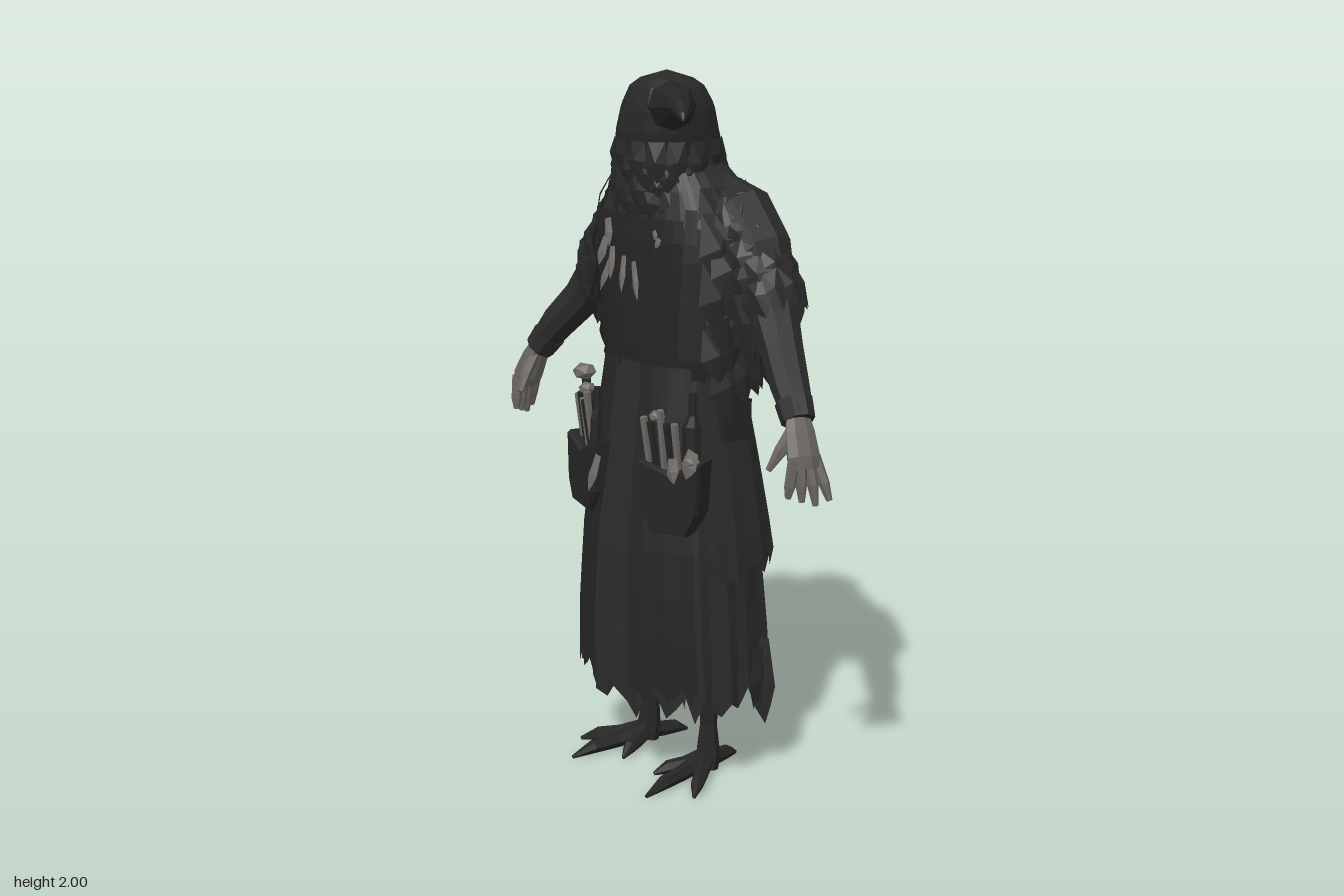
import * as THREE from 'three';

const V = (x, y, z) => new THREE.Vector3(x, y, z);
const hash = n => { const s = Math.sin(n * 12.9898 + 4.1) * 43758.5453; return s - Math.floor(s); };
const PI = Math.PI;

function material(name, color) {
  const m = new THREE.MeshStandardMaterial({ color, flatShading: true, side: THREE.DoubleSide });
  m.name = name;
  return m;
}

// faceted geometry from a list of points, three per face
function facets(points) {
  const g = new THREE.BufferGeometry().setFromPoints(points);
  g.computeVertexNormals();
  return g;
}

// surface through rows of points
function grid(rows) {
  const p = [];
  for (let j = 0; j + 1 < rows.length; j++)
    for (let i = 0; i + 1 < rows[j].length; i++) {
      const a = rows[j][i], b = rows[j][i + 1], c = rows[j + 1][i + 1], d = rows[j + 1][i];
      p.push(a, b, c, a, c, d);
    }
  return facets(p);
}

// point on a profile of [y, halfWidth, front, back, centreX, centreZ]; angle 0 is the front
function at(prof, y, a, off = 0) {
  let k = 0;
  while (k < prof.length - 2 && y > prof[k + 1][0]) k++;
  const A = prof[k], B = prof[k + 1];
  const t = THREE.MathUtils.clamp((y - A[0]) / (B[0] - A[0]), 0, 1);
  const [, w, f, b, cx, cz] = [0, 1, 2, 3, 4, 5].map(i => (A[i] || 0) * (1 - t) + (B[i] || 0) * t);
  const pw = v => Math.sign(v) * Math.abs(v) ** 0.85;
  const s = pw(Math.sin(a)), c = pw(Math.cos(a));
  return V(cx + s * (w + off), y, cz + c * ((c > 0 ? f : b) + off));
}

// cloth or body surface over part of a profile, with optional pleats, flare and torn hem
function shell(prof, { a0 = 0, a1 = 2 * PI, n = 28, m = 7, y0 = prof[0][0], y1 = prof.at(-1)[0], off = 0, hem = 0, pleat = 0, flare = 0 }) {
  const rows = [];
  for (let j = 0; j <= m; j++) {
    const t = j / m, row = [];
    for (let i = 0; i <= n; i++) {
      const k = a1 - a0 > 6.2 ? i % n : i;
      const y = y0 + (y1 - y0) * t - (j === 0 ? hem * hash(k * 3 + 1) : 0);
      const o = off + (1 - t) * (flare + pleat * (hash(k + 7) - 0.5) * 2);
      row.push(at(prof, y, a0 + (a1 - a0) * i / n, o));
    }
    rows.push(row);
  }
  return grid(rows);
}

// tapered limb through [x, y, z, radius]
function limb(pts, n = 7, flat = 1) {
  const P = pts.map(p => V(p[0], p[1], p[2])), last = P.length - 1;
  const dir = P[last].clone().sub(P[0]).normalize();
  const ref = Math.abs(dir.z) > 0.8 ? V(0, 1, 0) : V(0, 0, 1);
  const rows = P.map((p, j) => {
    const t = P[Math.min(j + 1, last)].clone().sub(P[Math.max(j - 1, 0)]).normalize();
    const u = ref.clone().cross(t).normalize(), v = t.clone().cross(u);
    return Array.from({ length: n + 1 }, (_, i) => {
      const a = 2 * PI * (i % n) / n;
      return p.clone().addScaledVector(u, Math.cos(a) * pts[j][3] * flat).addScaledVector(v, Math.sin(a) * pts[j][3]);
    });
  });
  const cap = k => rows[k].map(q => P[k].clone().lerp(q, 0.01));
  return grid([cap(0), ...rows, cap(last)]);
}

// one ridged feather, hanging from pos
function feather(out, pos, down, normal, len, w) {
  const d = down.clone().normalize();
  const s = normal.clone().cross(d).normalize(), n = d.clone().cross(s);
  const q = (x, y, z = 0) => pos.clone().addScaledVector(s, x * w).addScaledVector(d, y * len).addScaledVector(n, z);
  const c = q(0, 0.5, w * 0.2);
  const rim = [q(-0.35, 0), q(-0.5, 0.6), q(-0.28, 0.82), q(0.06, 1), q(0.3, 0.78), q(0.5, 0.55), q(0.35, 0)];
  rim.forEach((p, i) => out.push(c, p, rim[(i + 1) % rim.length]));
}

export function createModel() {
  const root = new THREE.Group();
  const cloth = material('charcoal cloth', 0x2b2b2b), plume = material('black plumage', 0x282828);
  const leather = material('dark leather', 0x252525), skin = material('grey skin', 0x6a6562);
  const trinket = material('pale trinkets', 0x6f6a66);
  const add = (name, geo, mat) => {
    const m = new THREE.Mesh(geo, mat);
    m.name = name;
    root.add(m);
    return m;
  };

  const torso = [[1.15, 0.2, 0.14, 0.145], [1.25, 0.215, 0.15, 0.18], [1.4, 0.235, 0.155, 0.205], [1.55, 0.255, 0.155, 0.2],
    [1.65, 0.24, 0.14, 0.175], [1.72, 0.185, 0.12, 0.14], [1.78, 0.11, 0.1, 0.1]];
  const skirt = [[0.3, 0.288, 0.215, 0.212], [0.45, 0.278, 0.222, 0.207], [0.7, 0.258, 0.215, 0.19], [0.95, 0.228, 0.19, 0.165], [1.22, 0.195, 0.15, 0.13]];
  const head = [[1.58, 0.13, 0.14, 0.1], [1.67, 0.152, 0.152, 0.14], [1.76, 0.14, 0.155, 0.13, -0.01], [1.84, 0.134, 0.145, 0.115, 0.005, 0.02],
    [1.91, 0.122, 0.125, 0.105, 0.02, 0.035], [1.96, 0.098, 0.098, 0.085, 0.025, 0.045], [1.99, 0.055, 0.055, 0.05, 0.025, 0.05], [2, 0.002, 0.002, 0.002, 0.025, 0.05]];

  // robe
  add('torso', shell(torso, {}), cloth);
  add('skirt', shell(skirt, { n: 52, y0: 0.32, hem: 0.11, pleat: 0.014 }), cloth);
  add('overskirt', shell(skirt, { a0: 1.25, a1: 2 * PI - 1.25, n: 30, y0: 0.68, y1: 1.2, off: 0.012, flare: 0.022, hem: 0.06, pleat: 0.012 }), cloth);
  for (const s of [-1, 1])
    add('apronPanel', shell(skirt, { a0: s > 0 ? 0.2 : -1.0, a1: s > 0 ? 1.0 : -0.2, n: 9, y0: 0.34, off: 0.014, hem: 0.07, pleat: 0.009 }), leather);
  add('apronTongue', shell(skirt, { a0: -0.16, a1: 0.16, n: 4, y0: 0.3, off: 0.008, pleat: 0.006 }), cloth);
  add('bib', shell(torso, { a0: -0.72, a1: 0.72, n: 10, y0: 1.2, y1: 1.62, off: 0.01 }), leather);
  add('belt', shell(torso, { n: 24, m: 1, y0: 1.185, y1: 1.235, off: 0.008 }), leather);
  for (const s of [-1, 1])
    add('strap', shell(torso, { a0: s * 0.83 - 0.09, a1: s * 0.83 + 0.09, n: 2, m: 4, y0: 1.56, y1: 1.74, off: 0.012 }), leather);

  // hanging rags between the legs and at the hip
  const rags = [];
  feather(rags, V(0, 0.7, -0.03), V(0, -1, 0), V(0, 0, 1), 0.56, 0.1);
  feather(rags, V(0.25, 0.42, -0.1), V(0, -1, -0.08), V(0.5, 0, 0.8), 0.27, 0.08);
  feather(rags, V(-0.21, 0.42, 0.08), V(0, -1, 0), V(-0.3, 0, 1), 0.23, 0.05);
  for (let i = 0; i < 9; i++) {
    const a = PI * (0.6 + 0.1 * i);
    feather(rags, at(skirt, 0.4, a), V(0, -1, 0), V(Math.sin(a), 0, Math.cos(a)), 0.13 + 0.1 * hash(i), 0.08);
  }
  add('rags', facets(rags), cloth);

  // head and beak
  add('head', shell(head, { n: 18, m: 21 }), plume);
  add('beak', limb([[0.06, 1.91, 0.07, 0.075], [0.13, 1.915, 0.115, 0.06], [0.19, 1.922, 0.15, 0.04], [0.25, 1.922, 0.19, 0.026], [0.285, 1.908, 0.215, 0.013], [0.295, 1.897, 0.222, 0.003]], 8), leather);

  // layered plumage: throat ruff, then cape
  const ruff = [], cape = [];
  for (let r = 0; r < 4; r++)
    for (let i = 0; i < 15; i++) {
      const a = 2 * PI * (i + r / 2) / 15, h = hash(i + r * 31);
      feather(ruff, at(head, 1.7 + r * 0.04, a, 0.001), V(Math.sin(a) * 0.06, -1, Math.cos(a) * 0.06), V(Math.sin(a), 0.1, Math.cos(a)), 0.07 + 0.04 * h, 0.065);
    }
  add('throatRuff', facets(ruff), plume);
  for (let r = 0; r < 8; r++)
    for (let i = 0; i < 17; i++) {
      const h = hash(i * 7 + r * 13), a = PI + (i - 8 + (r % 2) / 2) * 0.245 + (h - 0.5) * 0.1;
      if (Math.abs(a - PI) > 1.95) continue;
      const sx = Math.sin(a), cz = Math.cos(a), lift = 0.12 + 0.2 * hash(i + r * 5);
      feather(cape, at(torso, 1.27 + r * 0.062, a, 0.006), V(sx * lift, -1, cz * lift * 0.75), V(sx, 0.15, cz), 0.12 + 0.08 * h, 0.085 + 0.03 * h);
    }
  add('featherCape', facets(cape), plume);

  for (const s of [-1, 1]) {
    // arms with feathered shoulders
    const path = [[0.13, 1.66, -0.04, 0.08], [0.2, 1.62, -0.045, 0.103], [0.285, 1.53, -0.045, 0.095], [0.355, 1.415, -0.03, 0.07], [0.43, 1.305, 0, 0.058], [0.5, 1.225, 0.035, 0.052], [0.555, 1.155, 0.055, 0.042]];
    add('sleeve', limb(path.map(([x, y, z, r]) => [s * x, y, z, r]), 9), cloth);
    add('cuff', limb([[s * 0.525, 1.19, 0.045, 0.05], [s * 0.558, 1.145, 0.058, 0.045]], 8), cloth);
    const sleeve = [];
    for (let r = 0; r < 5; r++)
      for (let i = 0; i < 11; i++) {
        const t = r / 4, b = 2 * PI * (i + r / 2) / 11, h = hash(i * 3 + r * 11 + s);
        const u = V(s * 0.8, 0.6, 0).multiplyScalar(Math.cos(b)).add(V(0, 0, Math.sin(b)));
        const p = V(s * (0.18 + 0.14 * t), 1.64 - 0.165 * t, -0.045 + 0.008 * t).addScaledVector(u, 0.094 - 0.014 * t);
        feather(sleeve, p, V(s * 0.5, -0.9, 0).addScaledVector(u, 0.05), u, 0.08 + 0.06 * h, 0.08);
      }
    // long plumes hanging below the upper arm
    for (let i = 0; i < 10; i++)
      feather(sleeve, V(s * (0.21 + 0.014 * i), 1.44, -0.17 + 0.025 * i), V(s * 0.1, -1, -0.05), V(s * 0.4, 0, i < 5 ? -1 : 1), 0.1 + 0.09 * hash(i + 40), 0.07);
    add('shoulderFeathers', facets(sleeve), plume);

    // hands
    add('palm', limb([[s * 0.55, 1.165, 0.055, 0.035], [s * 0.572, 1.12, 0.065, 0.046], [s * 0.597, 1.06, 0.075, 0.052], [s * 0.608, 1.03, 0.077, 0.042]], 8, 0.62), skin);
    for (let i = 0; i < 4; i++)
      add('finger', limb([[s * 0.6, 1.06, 0.04 + 0.024 * i, 0.016], [s * (0.632 - 0.012 * i), 0.99, 0.034 + 0.029 * i, 0.015], [s * (0.647 - 0.018 * i), 0.935 + 0.012 * Math.abs(i - 1), 0.028 + 0.032 * i, 0.008]], 6), skin);
    add('thumb', limb([[s * 0.562, 1.13, 0.075, 0.02], [s * 0.553, 1.075, 0.115, 0.018], [s * 0.54, 1.025, 0.145, 0.008]], 6), skin);

    // legs and clawed feet
    add('leg', limb([[s * 0.12, 0.6, -0.02, 0.06], [s * 0.125, 0.28, -0.02, 0.036], [s * 0.13, 0.14, -0.015, 0.025], [s * 0.135, 0.05, -0.01, 0.036], [s * 0.135, 0.012, 0, 0.038]], 7), leather);
    for (const [x, z] of [[0.07, 0.14], [0.17, 0.25], [0.26, 0.15], [0.11, -0.14]]) {
      const q = (t, y, r) => [s * (0.135 + (x - 0.135) * t), y, z * t, r];
      add('toe', limb([q(0.02, 0.04, 0.03), q(0.4, 0.027, 0.023), q(0.72, 0.024, 0.02), q(1, 0.008, 0.005)], 6), leather);
    }
  }

  // deep apron pockets
  for (const [x, z, turn] of [[-0.145, 0.14, -0.25], [0.168, 0.125, 0.42]]) {
    const sh = new THREE.Shape([[-0.085, 0.97], [-0.08, 0.84], [-0.055, 0.785], [0.05, 0.78], [0.08, 0.84], [0.09, 0.975], [0, 0.94]].map(p => new THREE.Vector2(...p)));
    const g = new THREE.ExtrudeGeometry(sh, { depth: 0.065, bevelEnabled: true, bevelSize: 0.006, bevelThickness: 0.012, bevelSegments: 1 });
    const pocket = add('pocket', g, leather);
    pocket.position.set(x, 0, z);
    pocket.rotation.y = turn;
  }

  // hip pouches
  const pouch = add('roundPouch', new THREE.SphereGeometry(0.09, 9, 7), leather);
  pouch.scale.set(0.82, 1.1, 1);
  pouch.position.set(-0.228, 1.01, -0.065);
  add('pouchNeck', limb([[-0.225, 1.08, -0.06, 0.045], [-0.215, 1.14, -0.055, 0.05]], 8), leather);
  const box = add('beltPouch', new THREE.BoxGeometry(0.06, 0.11, 0.1), leather);
  box.position.set(0.222, 1.07, -0.01);

  // bottles, roots and bones in the pockets
  for (const [x, y, z, r, dx] of [[-0.24, 1.06, 0.12, 0.028, -0.01], [0.235, 1.08, 0.14, 0.026, 0.005], [-0.12, 1.04, 0.19, 0.02, 0.01]])
    add('bottle', limb([[x, y - 0.12, z, r], [x, y, z, r], [x + dx, y + 0.03, z, r * 0.5], [x + dx, y + 0.09, z, r * 0.5]], 7), leather);
  for (let i = 0; i < 10; i++) {
    const s = i < 5 ? -1 : 1, k = i % 5, x = s * (0.125 + 0.021 * k), z = 0.195 - 0.008 * k;
    add('root', limb([[x, 0.94, z, 0.008], [x + 0.012 * (hash(i) - 0.5), 1.07 + 0.06 * hash(i + 9), z + 0.02, 0.011]], 5), k % 2 ? leather : trinket);
  }
  for (const [x, y, z, r] of [[-0.22, 1.148, 0.15, 0.036], [-0.15, 1.12, 0.195, 0.026], [0.155, 1.1, 0.195, 0.024], [0.262, 0.99, 0.165, 0.025]]) {
    const cap = add('mushroomCap', new THREE.IcosahedronGeometry(r, 0), trinket);
    cap.position.set(x, y, z);
    cap.scale.y = 0.7;
  }

  // pale plumes and charms on the chest and apron
  const charms = [];
  for (const [x, y, z, l, w, dx] of [[-0.1, 1.6, 0.155, 0.08, 0.035, 0.3], [-0.09, 1.55, 0.17, 0.08, 0.035, -0.2], [-0.055, 1.53, 0.175, 0.09, 0.03, 0.1], [-0.07, 1.49, 0.172, 0.09, 0.026, -0.3],
    [-0.01, 1.51, 0.172, 0.1, 0.026, 0.1], [0.03, 1.5, 0.172, 0.11, 0.026, 0.4], [0.1, 1.59, 0.158, 0.03, 0.02, 0.6], [0.12, 1.57, 0.155, 0.03, 0.02, -0.5],
    [-0.06, 0.95, 0.228, 0.11, 0.035, -0.2], [0.27, 1.02, 0.165, 0.08, 0.06, -0.2], [0.23, 1.0, 0.205, 0.07, 0.05, 0.3]])
    feather(charms, V(x, y, z), V(dx, -1, 0.2), V(0, 0.1, 1), l, w);
  add('charms', facets(charms), trinket);
  return root;
}
